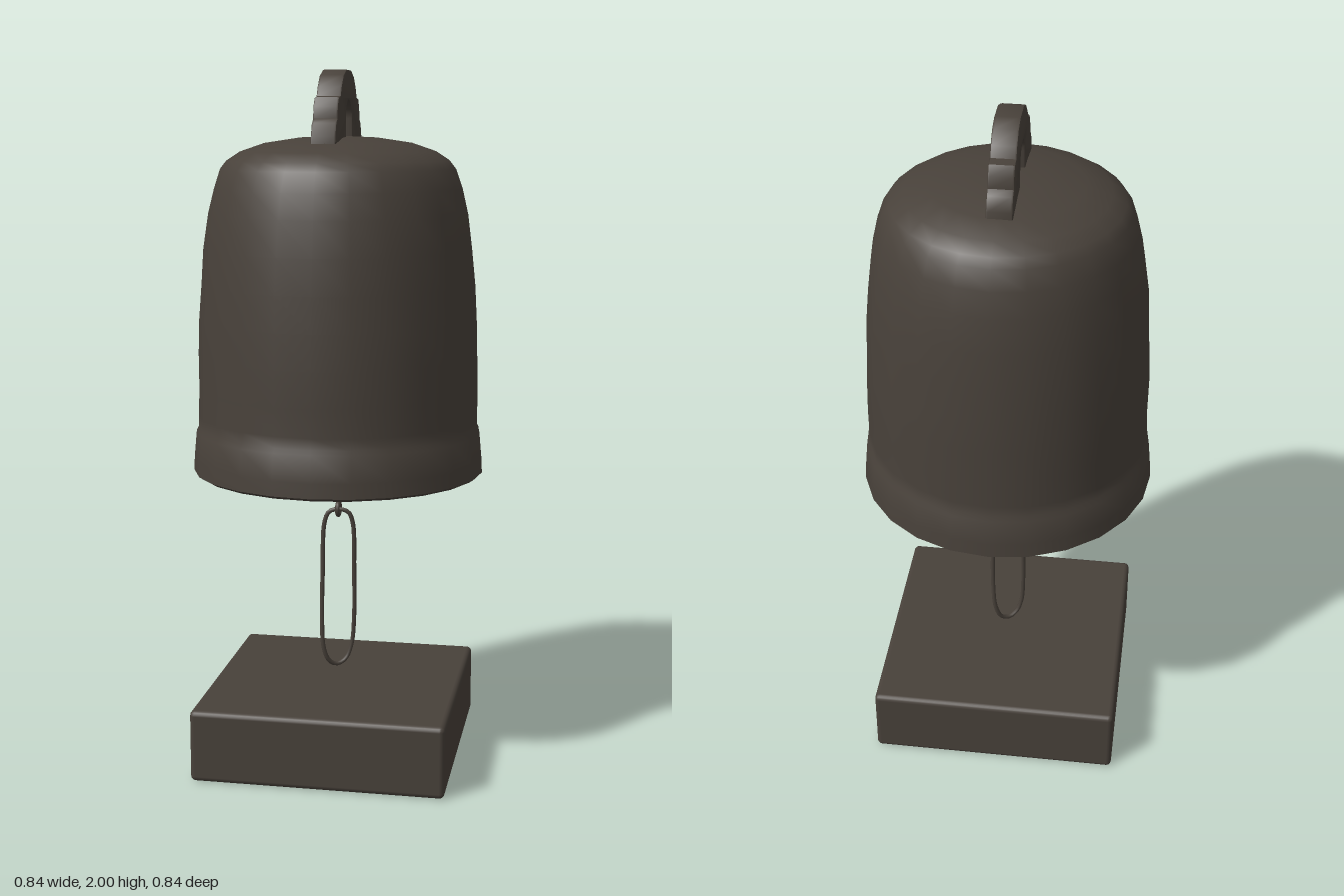
import * as THREE from 'three';
import { toCreasedNormals } from 'three/addons/utils/BufferGeometryUtils.js';
import { RoundedBoxGeometry } from 'three/addons/geometries/RoundedBoxGeometry.js';

export function createModel() {
  const group = new THREE.Group();
  const bronze = new THREE.MeshStandardMaterial({ color: 0x48413a });
  bronze.name = 'dark bronze';
  const add = (name, geometry) => {
    const mesh = new THREE.Mesh(geometry, bronze);
    mesh.name = name;
    group.add(mesh);
    return mesh;
  };
  const lathe = (profile, sides) =>
    new THREE.LatheGeometry(profile.map(([r, y]) => new THREE.Vector2(r, y)), sides);

  // Square plinth with softened edges
  add('base', new RoundedBoxGeometry(0.73, 0.21, 0.73, 2, 0.015)).position.set(0, 0.105, -0.002);

  // Bell: closed underside, plain lip, slightly hammered wall and domed crown
  const bell = lathe([
    [0, 0.85], [0.41, 0.85], [0.422, 0.858], [0.42, 0.9], [0.413, 0.975], [0.406, 0.988],
    [0.405, 1.02], [0.404, 1.1], [0.403, 1.2], [0.399, 1.3], [0.393, 1.4], [0.385, 1.5],
    [0.371, 1.6], [0.355, 1.67], [0.336, 1.725], [0.318, 1.748], [0.28, 1.773],
    [0.21, 1.797], [0.11, 1.812], [0, 1.817],
  ], 24);
  const p = bell.attributes.position;
  for (let i = 0; i < p.count; i++) {
    const y = p.getY(i);
    if (y < 1 || y > 1.7) continue;
    const a = Math.atan2(p.getX(i), p.getZ(i));
    const dent = 1 + 0.006 * Math.sin(5 * a + y * 9) * Math.cos(8 * a - y * 14);
    p.setX(i, p.getX(i) * dent);
    p.setZ(i, p.getZ(i) * dent);
  }
  add('bell', toCreasedNormals(bell, 0.6));

  // Arched hanger with stepped lobes on both shoulders
  const half = [[0.205, 1.76], [0.203, 1.815], [0.188, 1.85], [0.17, 1.862],
    [0.165, 1.895], [0.15, 1.918], [0.122, 1.922], [0.105, 1.95], [0.075, 1.98], [0.035, 1.995]];
  const outline = [...half, ...half.map(([z, y]) => [-z, y]).reverse()];
  const hanger = new THREE.Shape(outline.map(([z, y]) => new THREE.Vector2(z, y)));
  const opening = new THREE.Path();
  opening.moveTo(-0.055, 1.79);
  opening.lineTo(-0.055, 1.865);
  opening.absarc(0, 1.865, 0.055, Math.PI, 0, true);
  opening.lineTo(0.055, 1.79);
  opening.closePath();
  hanger.holes.push(opening);
  const hangerGeometry = new THREE.ExtrudeGeometry(hanger, {
    depth: 0.058, bevelSize: 0.004, bevelThickness: 0.006, bevelSegments: 2, curveSegments: 12,
  });
  hangerGeometry.translate(0, 0, -0.029).rotateY(Math.PI / 2);
  add('hanger', toCreasedNormals(hangerGeometry, 0.7)).position.x = -0.004;

  // Clapper stub under the bell
  add('clapper', toCreasedNormals(lathe([
    [0, 0.76], [0.045, 0.762], [0.06, 0.775], [0.066, 0.795], [0.066, 0.87],
  ], 16), 0.7));

  // Small eyelet that carries the cord
  const eyelet = add('eyelet', new THREE.TorusGeometry(0.019, 0.007, 8, 18));
  eyelet.rotation.y = Math.PI / 2;
  eyelet.position.y = 0.732;
  add('eyeletStem', new THREE.CylinderGeometry(0.008, 0.008, 0.03, 8)).position.y = 0.757;

  // Cord loop: its two strands spread apart in z toward the bottom
  const cord = [[0, 0.73, 0], [0.028, 0.722, -0.002], [0.041, 0.69, -0.005], [0.044, 0.55, -0.013],
    [0.043, 0.4, -0.021], [0.035, 0.31, -0.023], [0.018, 0.265, -0.015], [-0.006, 0.252, 0],
    [-0.028, 0.268, 0.015], [-0.042, 0.31, 0.023], [-0.047, 0.4, 0.021], [-0.046, 0.55, 0.013],
    [-0.042, 0.69, 0.005], [-0.028, 0.722, 0.002]];
  const loop = new THREE.CatmullRomCurve3(cord.map((c) => new THREE.Vector3(...c)), true);
  add('cordLoop', new THREE.TubeGeometry(loop, 90, 0.0065, 8, true)).position.x = 0.001;

  return group;
}
